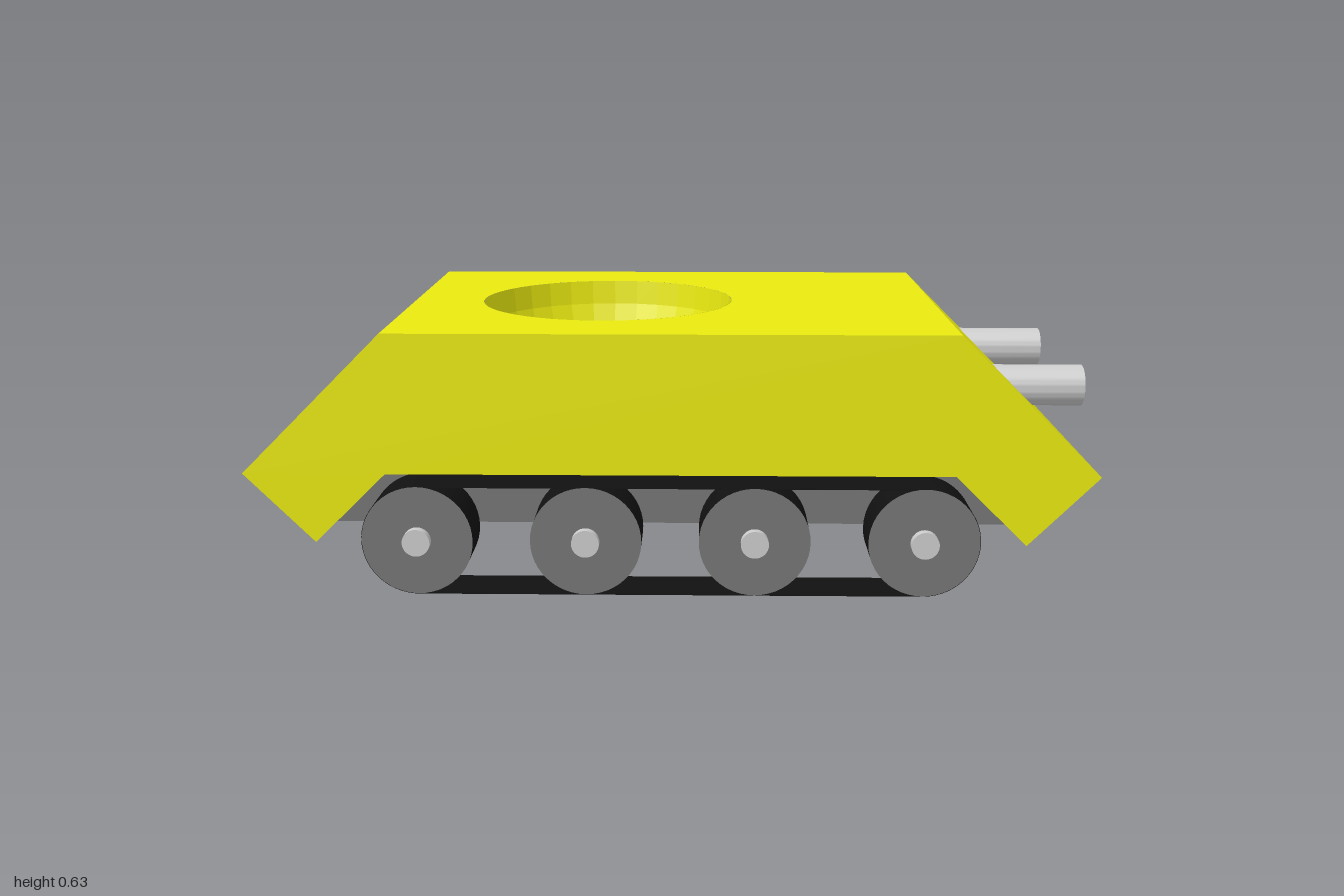
import * as THREE from 'three';
import { toCreasedNormals } from 'three/addons/utils/BufferGeometryUtils.js';

const yellow = new THREE.MeshStandardMaterial({ color: 0xe9e910 });
const bowlYellow = new THREE.MeshStandardMaterial({ color: 0xe9e910, flatShading: true, side: THREE.DoubleSide });
const darkGrey = new THREE.MeshStandardMaterial({ color: 0x757575 });
const rubber = new THREE.MeshStandardMaterial({ color: 0x111111 });
const metal = new THREE.MeshStandardMaterial({ color: 0xcccccc });

const TOP = 0.635, AXLE_Y = 0.133, WHEEL_XS = [-0.6, -0.2, 0.2, 0.6];

function addMesh(parent, name, geometry, material, x = 0, y = 0, z = 0) {
  const mesh = new THREE.Mesh(geometry, material);
  mesh.name = name;
  mesh.position.set(x, y, z);
  parent.add(mesh);
  return mesh;
}

// Extrude an outline in x/y symmetrically about z = 0
function extrudeZ(shape, depth) {
  const geometry = new THREE.ExtrudeGeometry(shape, { depth, bevelEnabled: false, curveSegments: 24 });
  return geometry.translate(0, 0, -depth / 2);
}

function polygon(points) {
  return new THREE.Shape(points.map(([x, y]) => new THREE.Vector2(x, y)));
}

// Drop the upward faces at the roof so a roof with an opening can replace them
function removeRoof(geometry) {
  const p = geometry.attributes.position.array;
  const kept = [];
  for (let i = 0; i < p.length; i += 9) {
    const isRoof = [1, 4, 7].every((k) => p[i + k] > TOP - 1e-4);
    if (!isRoof) kept.push(...p.slice(i, i + 9));
  }
  const open = new THREE.BufferGeometry();
  open.setAttribute('position', new THREE.Float32BufferAttribute(kept, 3));
  open.computeVertexNormals();
  return open;
}

// Rounded loop around the first and last wheels
function stadium(path, r) {
  path.absarc(0.6, 0, r, -Math.PI / 2, Math.PI / 2, false);
  path.absarc(-0.6, 0, r, Math.PI / 2, Math.PI * 1.5, false);
  path.closePath();
  return path;
}

function createHull() {
  const hull = new THREE.Group();
  hull.name = 'hull';

  // Armoured body, with wedge-shaped ends and arches over the tracks
  const profile = polygon([
    [-1, 0.302], [-0.835, 0.135], [-0.665, 0.302], [0.665, 0.302],
    [0.835, 0.135], [1, 0.302], [0.665, TOP], [-0.665, TOP],
  ]);
  addMesh(hull, 'body', removeRoof(extrudeZ(profile, 1)), yellow);

  // Roof with a round opening and the hollow bowl below it
  const roof = polygon([[-0.665, -0.5], [0.665, -0.5], [0.665, 0.5], [-0.665, 0.5]]);
  roof.holes.push(new THREE.Path().absarc(-0.17, 0, 0.32, 0, Math.PI * 2, true));
  addMesh(hull, 'roof', new THREE.ShapeGeometry(roof, 32).rotateX(-Math.PI / 2), yellow, 0, TOP, 0);
  const bowl = new THREE.SphereGeometry(0.32, 32, 8, 0, Math.PI * 2, Math.PI / 2, Math.PI / 2);
  addMesh(hull, 'bowl', bowl, bowlYellow, -0.17, TOP, 0);

  // Grey belly between the tracks
  const belly = polygon([[-0.835, 0.135], [0.835, 0.135], [0.665, 0.302], [-0.665, 0.302]]);
  addMesh(hull, 'belly', extrudeZ(belly, 0.67), darkGrey);
  return hull;
}

// Hollow barrel along x, sunk into the sloping nose
function createBarrel(z) {
  const ring = new THREE.Shape().absarc(0, 0, 0.05, 0, Math.PI * 2, false);
  ring.holes.push(new THREE.Path().absarc(0, 0, 0.034, 0, Math.PI * 2, true));
  const geometry = toCreasedNormals(extrudeZ(ring, 0.28), 0.6);
  geometry.rotateY(Math.PI / 2);
  const group = new THREE.Group();
  group.name = 'barrel';
  addMesh(group, 'barrelTube', geometry, metal, 0.86, 0.467, z);
  return group;
}

function createTrack(z) {
  const track = new THREE.Group();
  track.name = z > 0 ? 'frontTrack' : 'backTrack';
  track.position.set(0, AXLE_Y, z);

  // Thin rubber belt
  const loop = stadium(new THREE.Shape(), 0.133);
  loop.holes.push(stadium(new THREE.Path(), 0.13));
  addMesh(track, 'belt', toCreasedNormals(extrudeZ(loop, 0.123), 0.6), rubber);

  // Wheels with rubber rims and grey faces
  const wheel = new THREE.CylinderGeometry(0.132, 0.132, 0.124, 48).rotateX(Math.PI / 2);
  for (const x of WHEEL_XS) addMesh(track, 'wheel', wheel, [rubber, darkGrey, darkGrey], x);
  return track;
}

export function createModel() {
  const model = new THREE.Group();
  model.name = 'armouredVehicle';
  model.add(createHull());
  for (const side of [1, -1]) {
    model.add(createBarrel(side * 0.25));
    model.add(createTrack(side * 0.417));
  }

  // Axles across the full width
  const axle = new THREE.CylinderGeometry(0.033, 0.033, 1, 32).rotateX(Math.PI / 2);
  for (const x of WHEEL_XS) addMesh(model, 'axle', axle, metal, x, AXLE_Y, 0);
  return model;
}
